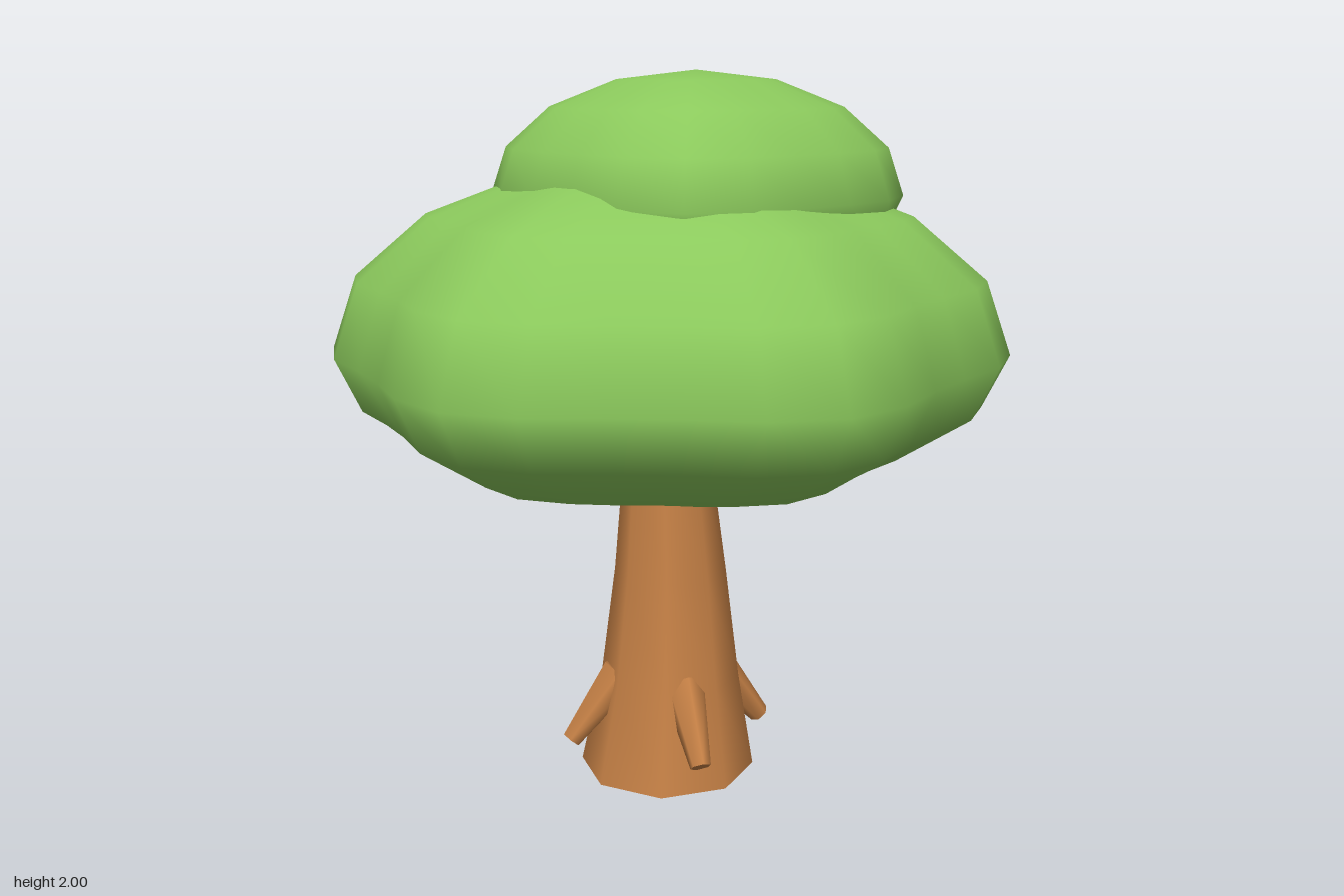
import * as THREE from 'three';
import { mergeVertices } from 'three/addons/utils/BufferGeometryUtils.js';

const leafGreen = new THREE.MeshStandardMaterial({ color: 0x8bc95c });
leafGreen.name = 'leaf green';
const barkBrown = new THREE.MeshStandardMaterial({ color: 0xc68146, side: THREE.DoubleSide });
barkBrown.name = 'bark brown';

// Flattened sphere whose outline swells into evenly spaced lobes
function foliage(name, { radius, swell, lobes, segments, up, down }) {
  const sphere = new THREE.SphereGeometry(1, segments, 8);
  sphere.deleteAttribute('uv');
  sphere.deleteAttribute('normal');
  const geometry = mergeVertices(sphere, 1e-4);
  const p = geometry.attributes.position;
  for (let i = 0; i < p.count; i++) {
    const x = p.getX(i), y = p.getY(i), z = p.getZ(i);
    const r = radius + swell * Math.cos(lobes * Math.atan2(z, x));
    p.setXYZ(i, x * r, y * (y > 0 ? up : down), z * r);
  }
  geometry.computeVertexNormals();
  const mesh = new THREE.Mesh(geometry, leafGreen);
  mesh.name = name;
  return mesh;
}

// Eight-sided open trunk with a slight bend
function trunk() {
  const profile = [[0.253, 0], [0.2, 0.28], [0.16, 0.6], [0.122, 0.95]];
  const geometry = new THREE.LatheGeometry(profile.map(([r, y]) => new THREE.Vector2(r, y)), 8);
  const p = geometry.attributes.position;
  for (let i = 0; i < p.count; i++) {
    p.setX(i, p.getX(i) + 0.01 * Math.sin(Math.PI * p.getY(i) / 0.95));
  }
  const mesh = new THREE.Mesh(geometry, barkBrown);
  mesh.name = 'trunk';
  return mesh;
}

// Short tapered stub drooping outward from the trunk
function stub(angle) {
  const start = new THREE.Vector3(0, 0.295, 0.14);
  const tip = new THREE.Vector3(0, 0.108, 0.292);
  const axis = start.clone().sub(tip);
  const mesh = new THREE.Mesh(new THREE.CylinderGeometry(0.062, 0.03, axis.length(), 6), barkBrown);
  mesh.position.copy(start).add(tip).multiplyScalar(0.5);
  mesh.quaternion.setFromUnitVectors(new THREE.Vector3(0, 1, 0), axis.normalize());
  const pivot = new THREE.Group();
  pivot.name = 'rootStub';
  pivot.rotation.y = angle;
  pivot.add(mesh);
  return pivot;
}

export function createModel() {
  const tree = new THREE.Group();
  tree.name = 'tree';
  tree.add(trunk());
  for (let i = 0; i < 4; i++) tree.add(stub(Math.PI / 8 + i * Math.PI / 2));

  const canopy = foliage('lowerCanopy',
    { radius: 0.897, swell: 0.049, lobes: 6, segments: 30, up: 0.535, down: 0.384 });
  canopy.position.y = 1.235;

  const crown = foliage('upperCanopy',
    { radius: 0.535, swell: 0.033, lobes: 4, segments: 20, up: 0.335, down: 0.24 });
  crown.position.set(0.075, 1.665, -0.05);

  tree.add(canopy, crown);
  return tree;
}
